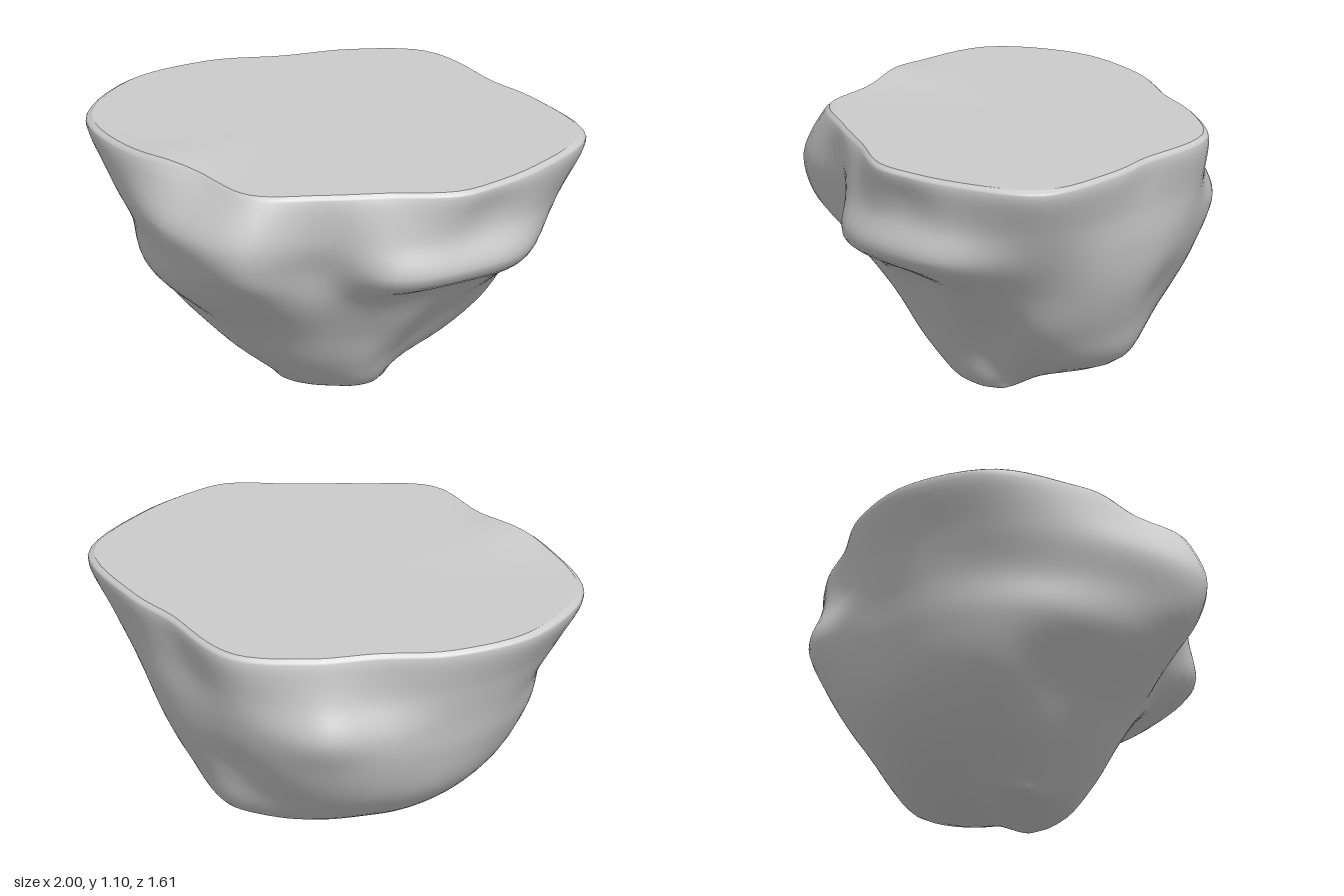
import * as THREE from 'three';

const SEGMENTS = 96;
const STEPS = 60;

// Cross-sections of the rock: height, then radii going round from +x to +z to -x to -z
const SECTIONS = [
  { y: 1.06, r: [1.0, 0.91, 0.85, 0.71, 0.70, 0.78, 0.74, 0.86, 1.0, 0.945, 0.81, 0.70, 0.73, 0.80, 0.775, 0.845] },
  { y: 0.87, r: [0.91, 0.87, 0.81, 0.75, 0.69, 0.87, 0.87, 0.87, 0.91, 0.86, 0.77, 0.70, 0.74, 0.77, 0.74, 0.80] },
  { y: 0.71, r: [0.82, 0.86, 0.83, 0.78, 0.63, 0.83, 0.82, 0.81, 0.82, 0.80, 0.74, 0.74, 0.77, 0.74, 0.73, 0.77] },
  { y: 0.55, r: [0.71, 0.69, 0.58, 0.57, 0.57, 0.68, 0.74, 0.77, 0.78, 0.75, 0.71, 0.71, 0.72, 0.69, 0.70, 0.72] },
  { y: 0.35, r: [0.58, 0.45, 0.43, 0.43, 0.45, 0.49, 0.54, 0.57, 0.66, 0.65, 0.63, 0.61, 0.60, 0.59, 0.62, 0.62] },
  { y: 0.18, r: [0.40, 0.30, 0.31, 0.34, 0.35, 0.37, 0.39, 0.43, 0.47, 0.46, 0.44, 0.42, 0.44, 0.48, 0.53, 0.49] },
  { y: 0.05, r: [0.22, 0.22, 0.24, 0.25, 0.24, 0.25, 0.26, 0.27, 0.27, 0.20, 0.13, 0.10, 0.09, 0.10, 0.13, 0.17] },
];

// Local swellings and hollows: centre, reach, and how far the surface moves outwards
const BUMPS = [
  { at: [-0.1, 0.78, -0.77], reach: 0.15, out: 0.045 }, // back knob
  { at: [0.72, 0.75, 0.42], reach: 0.16, out: 0.025 }, // front left bulge
  { at: [0.66, 0.96, 0.5], reach: 0.15, out: -0.03 }, // hollow under the rim
  { at: [0.62, 1.05, -0.46], reach: 0.14, out: -0.025 }, // notch in the rim
  { at: [0.36, 0.45, -0.55], reach: 0.15, out: -0.03 }, // groove at the back
];

// Smooth closed loop through the radii of one section
function ring({ y, r }) {
  const points = r.map((radius, i) => {
    const a = (i / r.length) * Math.PI * 2;
    return new THREE.Vector3(Math.cos(a) * radius, y, Math.sin(a) * radius);
  });
  const curve = new THREE.CatmullRomCurve3(points, true, 'catmullrom', 0.5);
  return Array.from({ length: SEGMENTS }, (_, i) => curve.getPoint(i / SEGMENTS));
}

// Copy of a ring at a new height, drawn in towards the line z = cz
function shrink(points, y, sx, sz = sx, cz = 0) {
  return points.map((p) => new THREE.Vector3(p.x * sx, y, cz + (p.z - cz) * sz));
}

// Move a point outwards by the swellings and hollows near it
function applyBumps(p) {
  const outward = new THREE.Vector3(p.x, 0, p.z).normalize();
  const shift = BUMPS.reduce((sum, { at, reach, out }) => {
    const d2 = p.distanceToSquared(new THREE.Vector3(...at));
    return sum + out * Math.exp(-d2 / reach ** 2);
  }, 0);
  p.addScaledVector(outward, shift);
}

// Slight rise of the rim at one front corner
function raiseRim(p) {
  const d2 = (p.x + 0.64) ** 2 + (p.z - 0.4) ** 2;
  if (p.y > 1) p.y += 0.018 * Math.exp(-d2 / 0.03);
}

// Closed surface through a stack of rings
function skin(rings) {
  const positions = [];
  const index = [];
  rings.forEach((loop) => loop.forEach((p) => positions.push(p.x, p.y, p.z)));
  for (let j = 0; j < rings.length - 1; j++) {
    for (let i = 0; i < SEGMENTS; i++) {
      const a = j * SEGMENTS + i;
      const b = j * SEGMENTS + ((i + 1) % SEGMENTS);
      index.push(a, b, a + SEGMENTS, b, b + SEGMENTS, a + SEGMENTS);
    }
  }
  const geometry = new THREE.BufferGeometry();
  geometry.setAttribute('position', new THREE.Float32BufferAttribute(positions, 3));
  geometry.setIndex(index);
  geometry.computeVertexNormals();
  return geometry;
}

export function createModel() {
  const group = new THREE.Group();
  const material = new THREE.MeshStandardMaterial({ color: 0xcccccc });

  const loops = SECTIONS.map(ring);
  const top = loops[0];
  const bottom = loops[loops.length - 1];

  // Rounded rim above, foot narrowing to a short ridge along x below
  const guides = [
    shrink(top, 1.08, 0.975),
    ...loops,
    shrink(bottom, 0.015, 0.82, 0.5, 0.12),
    shrink(bottom, 0.004, 0.4, 0.2, 0.12),
    shrink(bottom, 0, 0, 0, 0.12),
  ];

  // Smooth vertical curve down each side
  const columns = Array.from({ length: SEGMENTS }, (_, i) =>
    new THREE.CatmullRomCurve3(guides.map((g) => g[i])).getPoints(STEPS));
  const rings = Array.from({ length: STEPS + 1 }, (_, j) => columns.map((c) => c[j]));
  rings.flat().forEach(applyBumps);

  // Flat top, from the centre out to the rim
  const capRings = [0, 0.4, 0.7, 0.85, 0.95, 1].map((s) => shrink(rings[0], 1.08, s));
  rings.flat().forEach(raiseRim);
  capRings.flat().forEach(raiseRim);

  const body = new THREE.Mesh(skin(rings), material);
  body.name = 'rockBody';
  const cap = new THREE.Mesh(skin(capRings), material);
  cap.name = 'flatTop';
  group.add(body, cap);

  return group;
}
